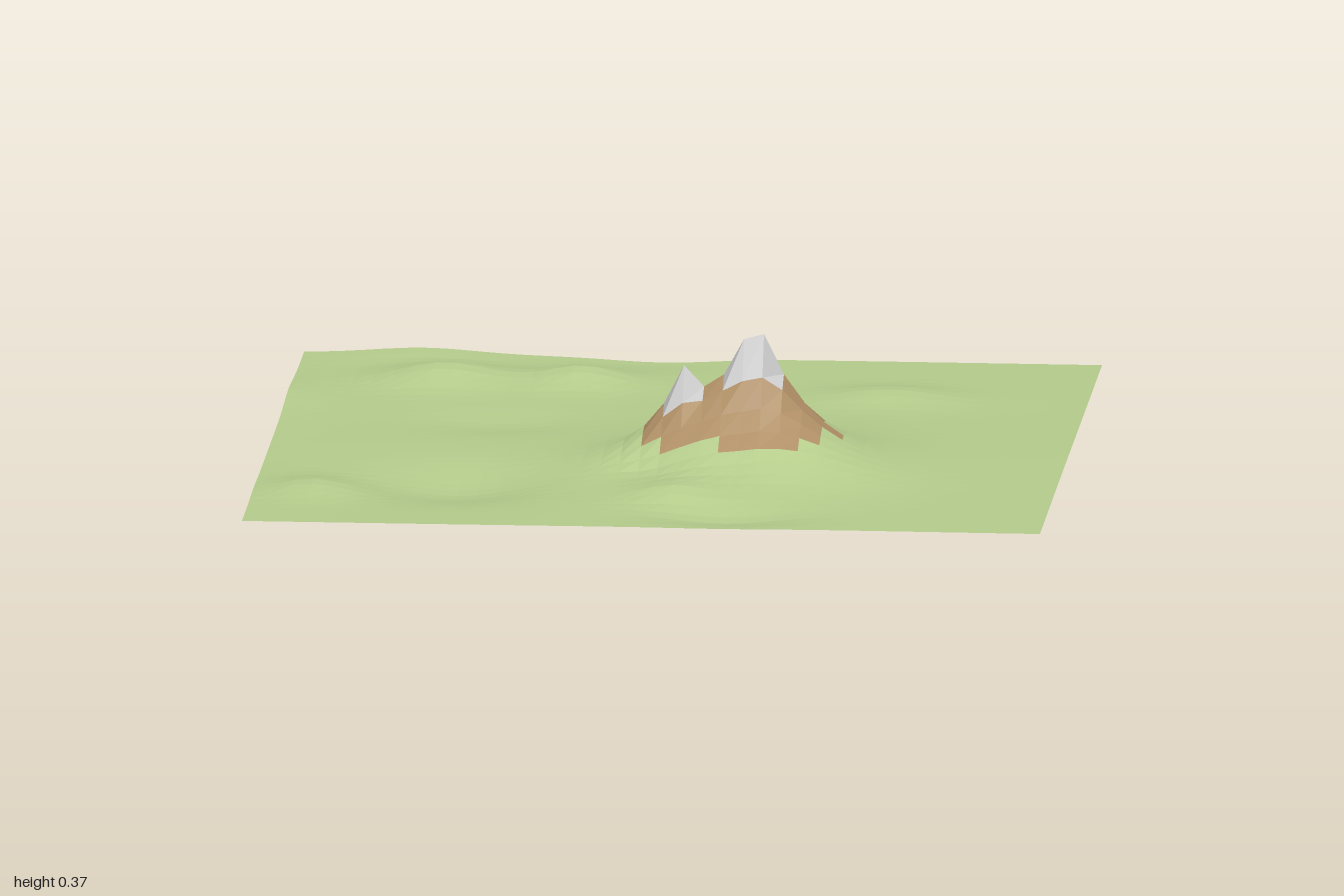
import * as THREE from 'three';

const CELLS = 40, SIZE = 2, STEP = SIZE / CELLS, BASE = 0.04;

// Rolling ground: x, z, height, radius in x, radius in z
const BUMPS = [
  [-0.62, -0.7, 0.045, 0.16, 0.13],
  [-0.28, -0.7, 0.042, 0.13, 0.12],
  [0.5, -0.56, 0.026, 0.17, 0.12],
  [-0.85, 0.61, 0.026, 0.11, 0.12],
  [-0.5, 0.5, -0.038, 0.2, 0.2],
  [-0.45, -0.22, -0.014, 0.2, 0.14],
  [0.2, 0.84, -0.024, 0.18, 0.1],
  [0.05, 0.65, 0.02, 0.1, 0.08],
  [0.4, 0.45, 0.018, 0.17, 0.15],
  [0.18, 0.08, 0.03, 0.13, 0.07],
  [-0.02, 0.45, -0.016, 0.09, 0.08],
  [-0.7, -1, 0.016, 0.18, 0.12],
  [-0.1, -1, -0.012, 0.18, 0.14],
  [-1, -0.5, 0.014, 0.1, 0.2],
];

// Cell ranges per row, counted from x = -1 and z = -1 (end excluded)
const ROCK = { 21: [21, 27], 22: [20, 28], 23: [19, 28], 24: [19, 28],
  25: [19, 29], 26: [19, 28], 27: [20, 28], 28: [23, 27] };
const SNOW = { 24: [[20, 22], [23, 26]], 25: [[20, 22], [23, 26]] };

// Two sharp summits that fall away exponentially and blend into one ridge
function mountain(x, z) {
  const dx = x - THREE.MathUtils.clamp(x, 0.2, 0.25);
  const top = 0.32 + 0.3 * THREE.MathUtils.clamp(x - 0.2, 0, 0.05);
  const main = top * Math.exp(-7.3 * Math.hypot(dx, z - 0.25));
  const minor = 0.24 * Math.exp(-10 * Math.hypot(x - 0.05, z - 0.25));
  return Math.pow(main ** 2.4 + minor ** 2.4, 1 / 2.4);
}

function height(x, z) {
  let y = BASE + mountain(x, z);
  for (const [cx, cz, h, rx, rz] of BUMPS) {
    y += h * Math.exp(-(((x - cx) / rx) ** 2) - ((z - cz) / rz) ** 2);
  }
  return Math.max(0, y);
}

function cellKind(col, row) {
  const inside = ([a, b]) => col >= a && col < b;
  if (SNOW[row]?.some(inside)) return 'snowCaps';
  return ROCK[row] && inside(ROCK[row]) ? 'rockSlopes' : 'grassland';
}

export function createModel() {
  const group = new THREE.Group();
  group.name = 'terrain';

  // Height field
  const plane = new THREE.PlaneGeometry(SIZE, SIZE, CELLS, CELLS).rotateX(-Math.PI / 2);
  const pos = plane.attributes.position;
  let low = Infinity;
  for (let i = 0; i < pos.count; i++) {
    pos.setY(i, height(pos.getX(i), pos.getZ(i)));
    low = Math.min(low, pos.getY(i));
  }
  plane.translate(0, -low, 0);

  // Sort the cells into one surface per ground cover
  const colors = { grassland: 0xb5cc8c, rockSlopes: 0xaf8f66, snowCaps: 0xcccccc };
  const faces = { grassland: [], rockSlopes: [], snowCaps: [] };
  const index = plane.index.array;
  for (let row = 0; row < CELLS; row++) {
    for (let col = 0; col < CELLS; col++) {
      const start = (row * CELLS + col) * 6;
      faces[cellKind(col, row)].push(...index.slice(start, start + 6));
    }
  }
  for (const name in faces) {
    const part = plane.clone();
    part.setIndex(faces[name]);
    const geometry = part.toNonIndexed();
    geometry.computeVertexNormals();
    const material = new THREE.MeshStandardMaterial({
      color: colors[name], flatShading: true, side: THREE.DoubleSide,
    });
    const mesh = new THREE.Mesh(geometry, material);
    mesh.name = name;
    group.add(mesh);
  }
  return group;
}
